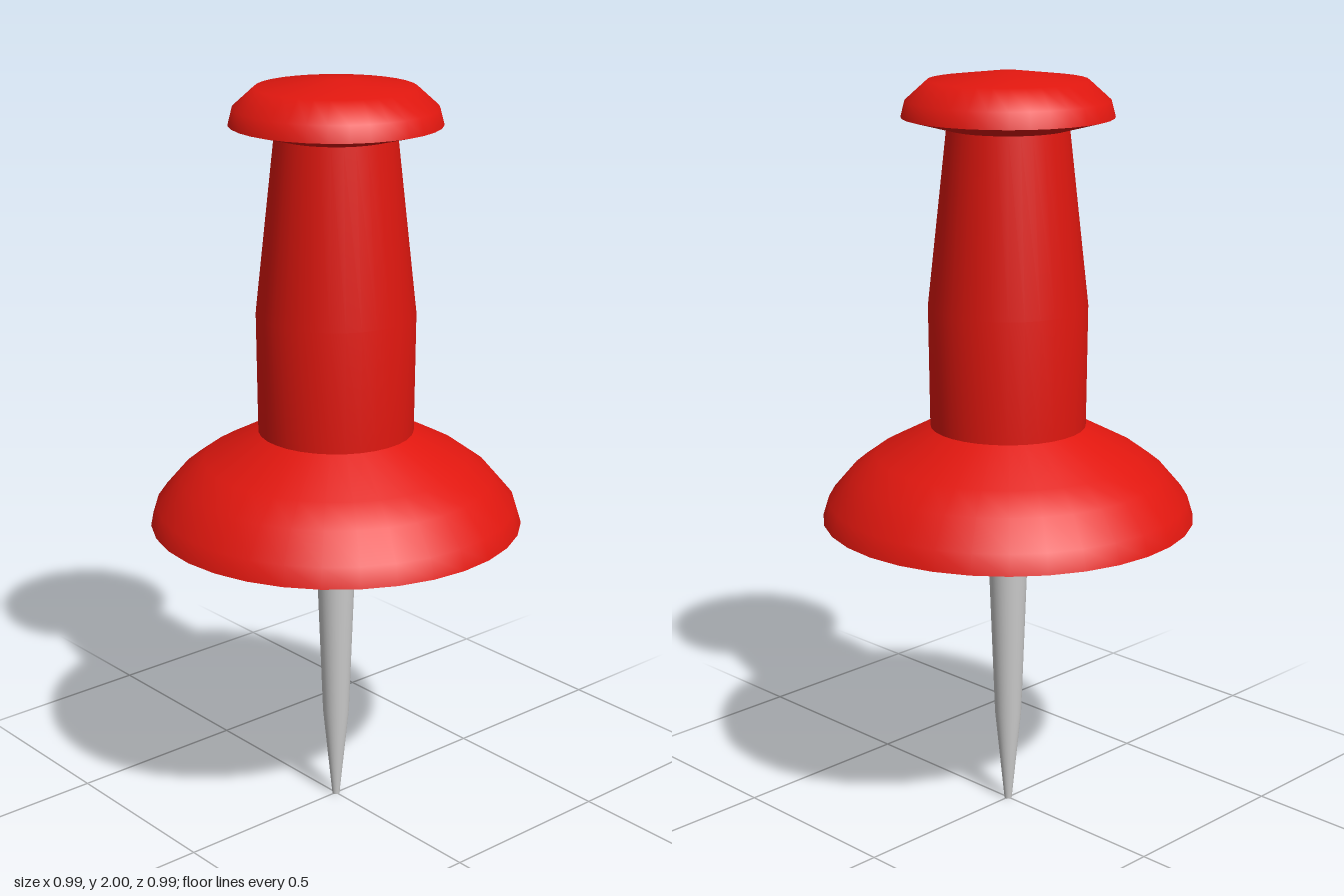
import * as THREE from 'three';

const SEGMENTS = 32;

// Revolves a profile of [radius, height] points, listed from bottom to top.
function turned(name, profile, material) {
  const points = profile.map(([r, y]) => new THREE.Vector2(r, y));
  const mesh = new THREE.Mesh(new THREE.LatheGeometry(points, SEGMENTS), material);
  mesh.name = name;
  return mesh;
}

export function createModel() {
  const red = new THREE.MeshStandardMaterial({ color: 0xe0170f });
  const metal = new THREE.MeshStandardMaterial({ color: 0xcccccc });

  // Plastic grip: separate profiles keep the edges between them sharp
  const grip = new THREE.Group();
  grip.name = 'grip';
  grip.add(
    turned('collarUnderside', [[0, 0.83], [0.493, 0.83]], red),
    turned('collar', [[0.493, 0.83], [0.477, 0.882], [0.415, 0.955], [0.35, 1.003], [0.205, 1.08]], red),
    turned('stem', [[0.205, 1.08], [0.208, 1.4], [0.157, 1.856]], red),
    turned('headUnderside', [[0.157, 1.856], [0.272, 1.886]], red),
    turned('head', [[0.272, 1.886], [0.261, 1.928], [0.205, 1.978], [0.03, 2], [0, 2]], red)
  );

  // Metal pin: slow taper, then a sharper one down to a small blunt tip
  const pin = new THREE.Group();
  pin.name = 'pin';
  pin.add(
    turned('needle', [[0.01, 0], [0.036, 0.26], [0.057, 0.83]], metal),
    turned('needleTip', [[0, 0], [0.01, 0]], metal)
  );

  const model = new THREE.Group();
  model.name = 'pushPin';
  model.add(grip, pin);
  return model;
}
